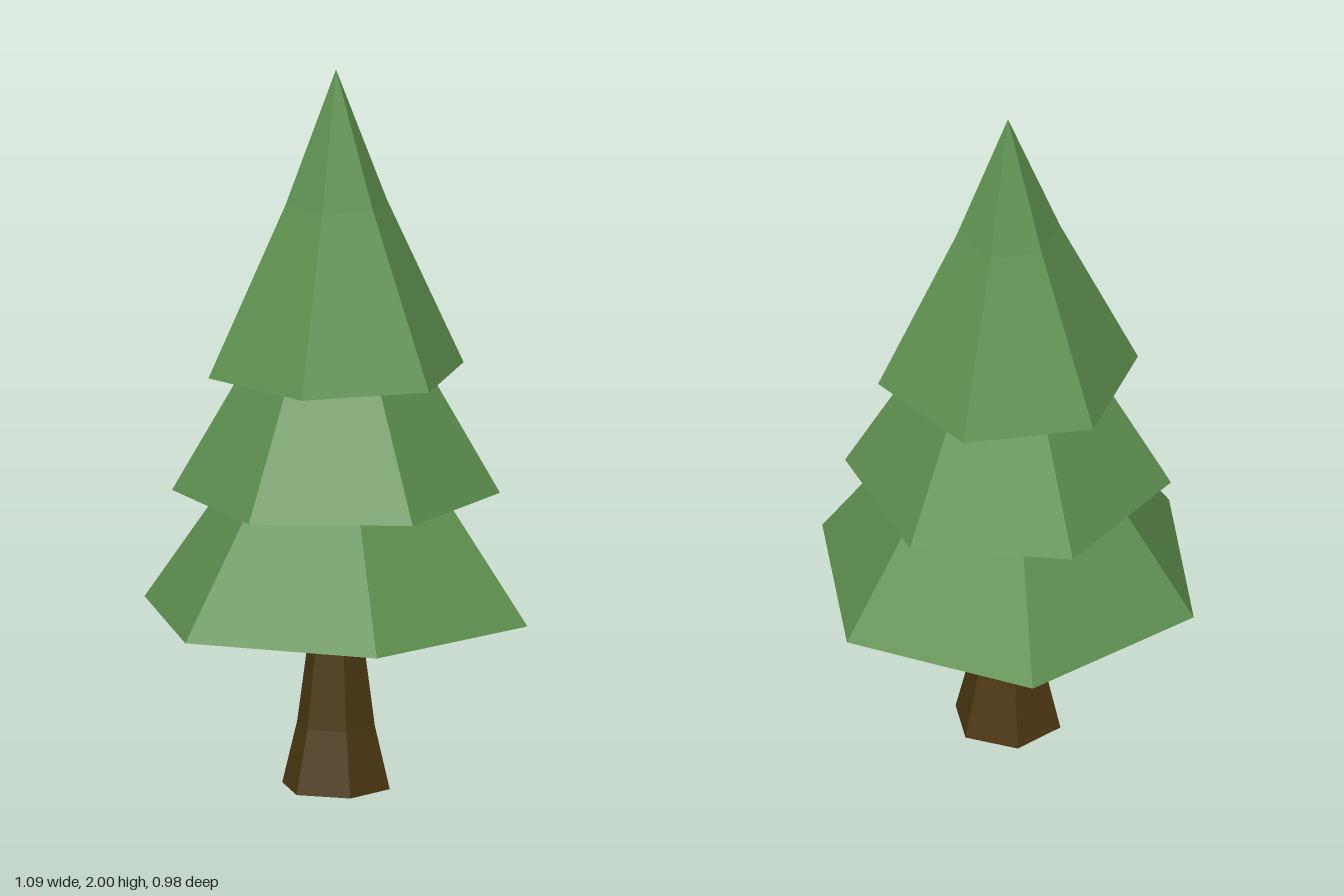
import * as THREE from 'three';

const material = (name, color) => {
  const m = new THREE.MeshStandardMaterial({ color, flatShading: true });
  m.name = name;
  return m;
};

const SIDES = 6;

// Open six-sided band between two rings given as [radius, height]
function band(name, [r0, y0], [r1, y1], mat, turn) {
  const geo = new THREE.CylinderGeometry(r1, r0, y1 - y0, SIDES, 1, true);
  geo.rotateY(THREE.MathUtils.degToRad(turn)).translate(0, (y0 + y1) / 2, 0);
  const mesh = new THREE.Mesh(geo, mat);
  mesh.name = name;
  return mesh;
}

// Shallow hollow under a tier: a cone seen from its inside
function underside(radius, y, mat, turn) {
  const geo = new THREE.ConeGeometry(radius, 0.065, SIDES, 1, true);
  geo.rotateY(THREE.MathUtils.degToRad(turn)).translate(0, y + 0.0325, 0);
  const index = geo.index.array;
  for (let i = 0; i < index.length; i += 3) {
    [index[i], index[i + 1]] = [index[i + 1], index[i]];
  }
  geo.computeVertexNormals();
  const mesh = new THREE.Mesh(geo, mat);
  mesh.name = 'underside';
  return mesh;
}

export function createModel() {
  const foliage = material('foliage green', 0x5f9150);
  const shade = material('underside green', 0x116a1e);
  const bark = material('bark brown', 0x4c3812);
  const wood = material('cut wood', 0xc8ac7e);

  const tree = new THREE.Group();
  tree.name = 'pineTree';

  // Flared trunk with a pale cut base
  const trunk = new THREE.Group();
  trunk.name = 'trunk';
  trunk.add(band('trunkFlare', [0.151, 0], [0.109, 0.175], bark, 30));
  trunk.add(band('trunkStem', [0.109, 0.175], [0.053, 0.59], bark, 30));
  const base = new THREE.Mesh(new THREE.CircleGeometry(0.151, SIDES).rotateX(Math.PI / 2), wood);
  base.name = 'trunkBase';
  trunk.add(base);
  tree.add(trunk);

  // Foliage tiers, each a stack of rings turned about the trunk
  const tiers = [
    { name: 'lowerTier', turn: 26.8, rings: [[0.547, 0.487], [0.277, 0.88]] },
    { name: 'middleTier', turn: -17, rings: [[0.445, 0.822], [0.219, 1.22]] },
    { name: 'topTier', turn: 0, rings: [[0.358, 1.16], [0.142, 1.63], [0, 2]] },
  ];
  for (const { name, turn, rings } of tiers) {
    const tier = new THREE.Group();
    tier.name = name;
    for (let i = 0; i < rings.length - 1; i++) {
      tier.add(band('branches', rings[i], rings[i + 1], foliage, turn));
    }
    tier.add(underside(...rings[0], shade, turn));
    tree.add(tier);
  }
  return tree;
}
